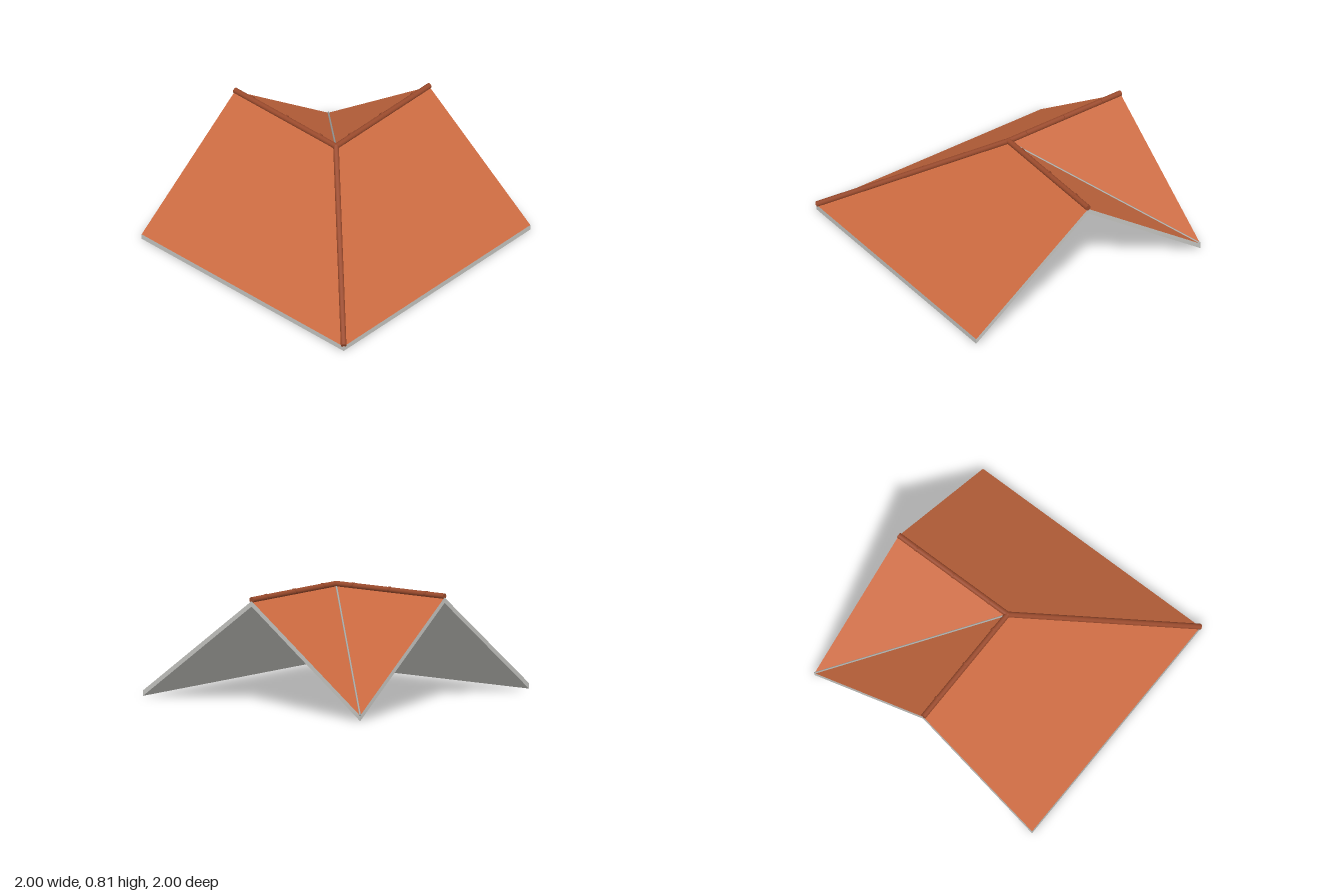
import * as THREE from 'three';

const mat = (name, color) => {
  const m = new THREE.MeshStandardMaterial({ color });
  m.name = name;
  return m;
};

export function createModel() {
  const roof = new THREE.Group();
  roof.name = 'cornerRoof';
  const tile = mat('terracotta tile', 0xcb6a40);
  const ridgeClay = mat('dark ridge clay', 0x9a4a2c);
  const slab = mat('grey slab', 0xc6c6c2);
  const metal = mat('valley metal', 0xa8a8a4);

  const cx = 0.005, cz = -0.005, H = 0.987, T = 0.04, top = 0.78;
  const V = (x, y, z) => new THREE.Vector3(x, y, z);
  const P = (i, y, k) => V(cx + i * H, y, cz + k * H);
  const apex = P(0, top, 0), east = P(1, top, 0), north = P(0, top, -1);
  const sw = P(-1, T, 1), se = P(1, T, 1), nw = P(-1, T, -1), ne = P(1, T, -1);
  const lower = p => V(p.x, p.y - T, p.z);

  // Convex faces, each split as a fan with flat normals
  const add = (name, geometry, material, parent = roof) => {
    const mesh = new THREE.Mesh(geometry, material);
    mesh.name = name;
    parent.add(mesh);
    return mesh;
  };
  const faces = polygons => {
    const pts = [];
    for (const p of polygons)
      for (let i = 1; i < p.length - 1; i++) pts.push(p[0], p[i], p[i + 1]);
    const g = new THREE.BufferGeometry().setFromPoints(pts);
    g.computeVertexNormals();
    return g;
  };

  // Tiled slopes with the slab underneath
  const slopes = {
    frontSlope: [apex, sw, se, east],
    rightSlope: [apex, north, nw, sw],
    innerSideSlope: [apex, ne, north],
    innerBackSlope: [apex, east, ne],
  };
  for (const [name, p] of Object.entries(slopes)) {
    add(name, faces([p]), tile);
    add(name + 'Underside', faces([p.map(lower).reverse()]), slab);
  }

  // Slab edge along eaves and gables
  const rim = [sw, se, east, ne, north, nw];
  add('slabEdge', faces(rim.map((a, i) => {
    const b = rim[(i + 1) % rim.length];
    return [lower(a), lower(b), b, a];
  })), slab);

  // Round capping between two points
  const rod = (name, a, b, r, material, sides = 12) => {
    const d = b.clone().sub(a);
    const m = add(name, new THREE.CylinderGeometry(r, r, d.length(), sides), material);
    m.position.copy(a).addScaledVector(d, 0.5);
    m.quaternion.setFromUnitVectors(V(0, 1, 0), d.normalize());
    return m;
  };
  const lift = (p, dy) => V(p.x, p.y + dy, p.z);
  const R = 0.021;
  rod('sideRidge', lift(apex, 0.008), lift(east, 0.008), R, ridgeClay);
  rod('backRidge', lift(apex, 0.008), lift(north, 0.008), R, ridgeClay);
  rod('hipCap', lift(apex, 0.008), lift(sw, 0.008), R, ridgeClay);
  add('apexCap', new THREE.SphereGeometry(R, 12, 8), ridgeClay).position.copy(lift(apex, 0.008));
  rod('valleyFlashing', lift(apex, 0.002), lift(ne, 0.002), 0.007, metal, 8);

  // Collars over the ridge joints, set slightly toward the inner corner
  for (const t of [0.165, 0.495, 0.825]) {
    const y = top + 0.012;
    rod('sideRidgeCollar', V(t - 0.009, y, cz - 0.004), V(t + 0.009, y, cz - 0.004), R, ridgeClay);
    rod('backRidgeCollar', V(cx + 0.004, y, -t + 0.009), V(cx + 0.004, y, -t - 0.009), R, ridgeClay);
  }
  return roof;
}
